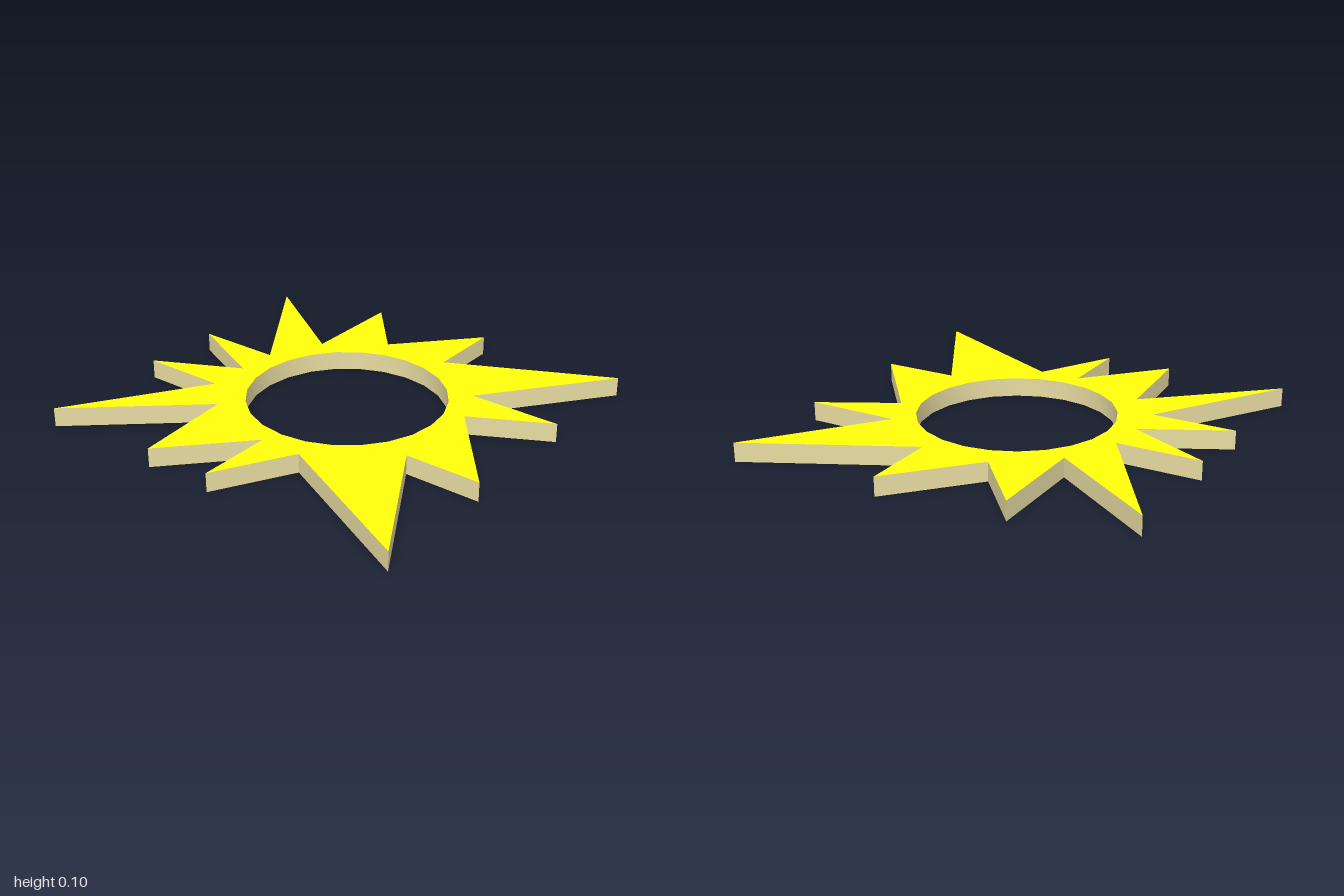
import * as THREE from 'three';
import { toCreasedNormals } from 'three/addons/utils/BufferGeometryUtils.js';

const HEIGHT = 0.098;

// Outline seen from above as [x, z], spike tips and notches alternating
const OUTLINE = [
  [-0.985, -1], [-0.31, -0.565], [-0.31, -1], [-0.095, -0.57],
  [0.11, -1], [0.11, -0.565], [0.765, -1], [0.385, -0.435],
  [0.915, -0.435], [0.595, -0.155], [0.985, 0.2], [0.595, 0.2],
  [0.985, 1], [0.37, 0.525], [0.37, 1], [0.165, 0.61],
  [-0.31, 1], [-0.31, 0.61], [-0.985, 1], [-0.6, 0.215],
  [-0.985, 0], [-0.6, 0], [-0.985, -0.36], [-0.465, -0.405],
];

export function createModel() {
  const model = new THREE.Group();
  model.name = 'spikedRing';

  // Irregular star; z is flipped because the plate is laid down afterwards
  const shape = new THREE.Shape(OUTLINE.map(([x, z]) => new THREE.Vector2(x, -z)));

  // Round opening with 24 sides, wound against the outline so its wall faces inward
  const hole = new THREE.Path();
  hole.absarc(-0.008, -0.036, 0.5, 0, Math.PI * 2, false);
  shape.holes.push(hole);

  // Lay the plate flat; the opening's wall is smooth, all other edges sharp
  const extruded = new THREE.ExtrudeGeometry(shape, {
    depth: HEIGHT, bevelEnabled: false, curveSegments: 12,
  });
  extruded.rotateX(-Math.PI / 2);
  const geometry = toCreasedNormals(extruded, 0.4);

  // Yellow faces, tan rim and opening wall
  const faces = new THREE.MeshStandardMaterial({ color: 0xffff0a });
  const walls = new THREE.MeshStandardMaterial({ color: 0xe8dca2 });
  const plate = new THREE.Mesh(geometry, [faces, walls]);
  plate.name = 'starPlate';
  model.add(plate);

  return model;
}
